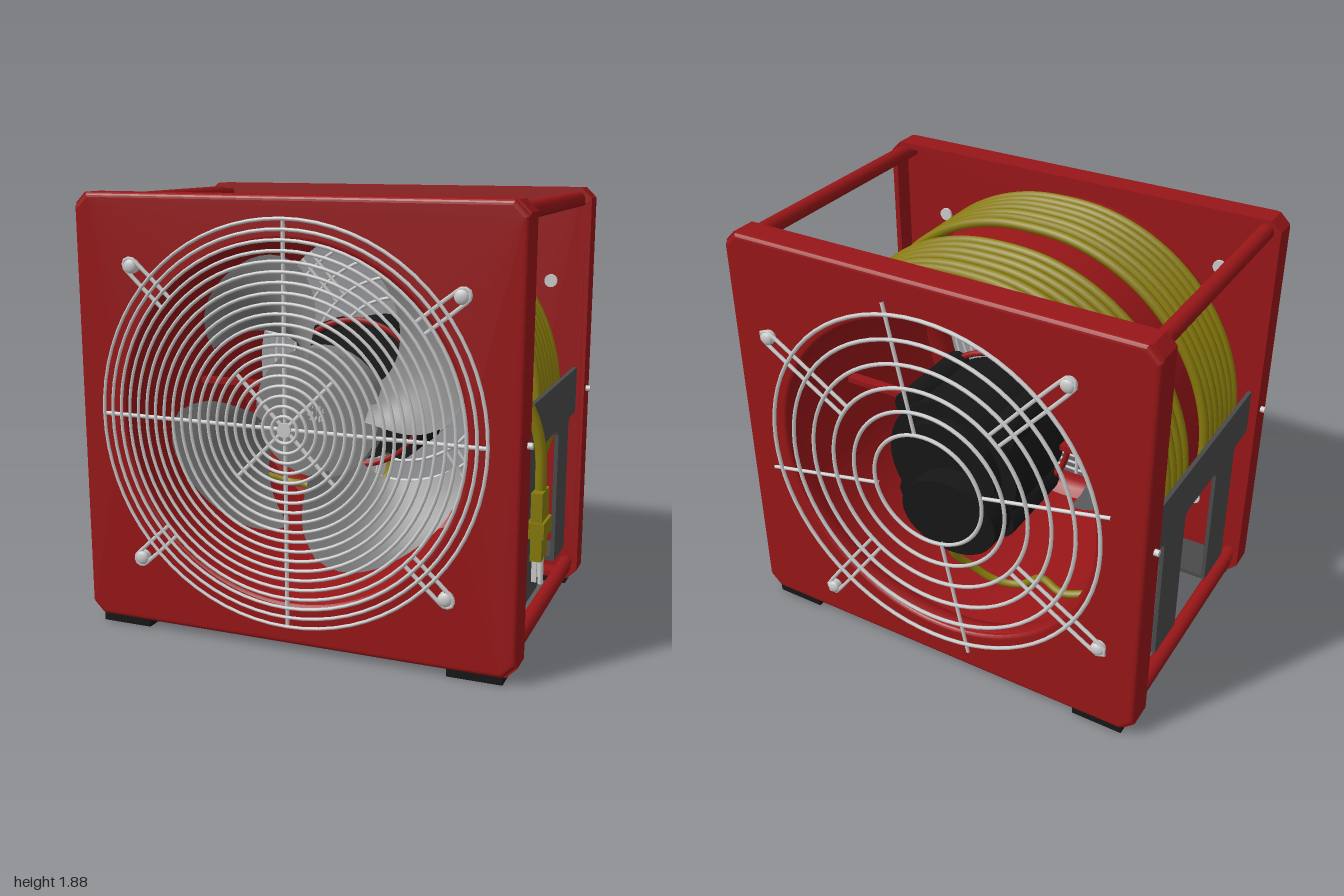
import * as THREE from 'three';

const CY = 0.955; // fan axis height
const V = (x, y, z) => new THREE.Vector3(x, y, z);
const mat = (color, side = THREE.FrontSide) => new THREE.MeshStandardMaterial({ color, side });
const RED = mat(0x981618), RED2 = mat(0x981618, THREE.DoubleSide), YELLOW = mat(0x877a0a);
const BLACK = mat(0x161616), DARK = mat(0x4a4a4a), STEEL = mat(0xcccccc), BLADE = mat(0x808080, THREE.DoubleSide);

function add(parent, name, geo, material, x = 0, y = 0, z = 0) {
  const m = new THREE.Mesh(geo, material);
  m.name = name;
  m.position.set(x, y, z);
  parent.add(m);
  return m;
}
const box = (p, name, m, w, h, d, x, y, z) => add(p, name, new THREE.BoxGeometry(w, h, d), m, x, y, z);
const cylZ = (p, name, m, r, len, x, y, z, seg = 24) =>
  add(p, name, new THREE.CylinderGeometry(r, r, len, seg).rotateX(Math.PI / 2), m, x, y, z);
const tube = (p, name, m, pts, r, seg = 40, sides = 8) =>
  add(p, name, new THREE.TubeGeometry(new THREE.CatmullRomCurve3(pts, false, 'centripetal'), seg, r, sides), m);
const rod = (p, name, m, a, b, r) =>
  add(p, name, new THREE.TubeGeometry(new THREE.LineCurve3(a, b), 1, r, 8), m);

// chamfered square outline, inset by t
function outline(t, C = THREE.Shape) {
  const w = 0.96 - t, b = 0.03 + t - CY, h = 1.875 - t - CY, c = 0.045;
  const s = new C();
  [[-w + c, b], [w - c, b], [w, b + c], [w, h - c], [w - c, h], [-w + c, h], [-w, h - c], [-w, b + c]]
    .forEach(([x, y], i) => (i ? s.lineTo(x, y) : s.moveTo(x, y)));
  s.closePath();
  return s;
}

// folded sheet panel: face with a round opening, rim turned inward, curved inlet lip
function makePanel() {
  const p = new THREE.Group();
  p.name = 'endPanel';
  const face = outline(0.02);
  face.holes.push(new THREE.Path().absarc(0, 0, 0.765, 0, Math.PI * 2, true));
  add(p, 'panelFace', new THREE.ExtrudeGeometry(face, {
    depth: 0.004, bevelThickness: 0.018, bevelSize: 0.02, bevelSegments: 4, curveSegments: 48,
  }), RED, 0, CY, 0.638);
  const rim = outline(0);
  rim.holes.push(outline(0.025, THREE.Path));
  add(p, 'panelRim', new THREE.ExtrudeGeometry(rim, { depth: 0.11, bevelEnabled: false }), RED, 0, CY, 0.53);
  const lip = [[0.755, 0.655], [0.742, 0.63], [0.742, 0.59], [0.76, 0.55], [0.8, 0.52]]
    .map(([r, z]) => new THREE.Vector2(r, z));
  add(p, 'inletLip', new THREE.LatheGeometry(lip, 72).rotateX(Math.PI / 2), RED2, 0, CY, 0);
  for (const s of [-1, 1]) {
    box(p, 'foot', BLACK, 0.23, 0.034, 0.11, s * 0.79, 0.017, 0.595);
    const b = cylZ(p, 'sideBolt', STEEL, 0.014, 0.03, s * 0.965, CY, 0.58, 12);
    b.rotation.y = Math.PI / 2;
  }
  return p;
}

// wire guard facing +z, built around its own axis
function makeGuard(name, radii, wire, bolts, hookIn) {
  const g = new THREE.Group();
  g.name = name;
  for (const r of radii) add(g, 'guardRing', new THREE.TorusGeometry(r, wire, 6, 72), STEEL);
  for (const [x, y] of bolts) {
    const h = new THREE.Group(), d = Math.hypot(x, y);
    h.name = 'mountHook';
    h.rotation.z = Math.atan2(y, x);
    g.add(h);
    tube(h, 'hookWire', STEEL, [V(hookIn, 0.028, -0.01), V(d - 0.03, 0.028, -0.01), V(d + 0.02, 0.024, -0.01),
      V(d + 0.036, 0, -0.01), V(d + 0.02, -0.024, -0.01), V(d - 0.03, -0.028, -0.01), V(hookIn, -0.028, -0.01)], 0.009, 30, 6);
    cylZ(h, 'boltShank', STEEL, 0.03, 0.075, d, 0, -0.045);
    const head = add(h, 'boltHead', new THREE.SphereGeometry(0.03, 16, 8), STEEL, d, 0, -0.006);
    head.scale.z = 0.5;
  }
  return g;
}

// swept, pitched fan blade: narrow at the hub, broad rounded tip
function bladeGeometry() {
  const geo = new THREE.PlaneGeometry(1, 1, 16, 12), pos = geo.attributes.position;
  for (let i = 0; i < pos.count; i++) {
    const u = pos.getX(i) + 0.5, v = pos.getY(i) + 0.5;
    const r = 0.25 + (0.455 - 0.09 * Math.pow(Math.abs(2 * u - 1), 4)) * v;
    const a0 = 0.04 * v - 0.1 * Math.sin(Math.PI * v), a1 = 0.5 + 0.72 * Math.pow(v, 1.4);
    const a = a0 + (a1 - a0) * u;
    pos.setXYZ(i, r * Math.cos(a), r * Math.sin(a), (0.5 - u) * 0.26 + 0.04 * Math.sin(Math.PI * u));
  }
  geo.computeVertexNormals();
  return geo;
}

// cord draped back and forth over the drum, with round turns at each end
function coil(parent, zs) {
  const pts = [];
  const at = (deg, z) => {
    const a = THREE.MathUtils.degToRad(deg), r = 0.826 + 0.028 * Math.abs(Math.cos(a));
    pts.push(V(r * Math.cos(a), CY + r * Math.sin(a), z + 0.008 * Math.cos(a)));
  };
  zs.forEach((z, i) => {
    for (let k = 0; k <= 20; k++) at(-25 + 230 * (i % 2 ? 20 - k : k) / 20, z);
    if (i < zs.length - 1) at(i % 2 ? -27.5 : 207.5, (z + zs[i + 1]) / 2);
  });
  tube(parent, 'coiledCord', YELLOW, pts, 0.022, zs.length * 66, 8);
}

// forked cord bracket for the +x side
function makeBracket() {
  const b = new THREE.Group();
  b.name = 'cordBracket';
  const s = new THREE.Shape();
  const half = [[0.53, 1.06], [0.53, 0.85], [0.41, 0.85], [0.388, 0.841], [0.38, 0.82], [0.38, 0.24],
    [0.17, 0.24], [0.17, 0.82], [0.162, 0.841], [0.14, 0.85]];
  const pts = [...half, ...half.map(([z, y]) => [-z, y]).reverse()];
  pts.forEach(([z, y], i) => (i ? s.lineTo(z, y) : s.moveTo(z, y)));
  const geo = new THREE.ExtrudeGeometry(s, { depth: 0.018, bevelEnabled: false }).rotateY(Math.PI / 2);
  add(b, 'forkPlate', geo, DARK, 0.905, 0, 0);
  for (const z of [-0.275, 0.275]) {
    const foot = new THREE.Shape();
    [[0.915, -0.105], [0.915, 0.105], [0.59, 0.105], [0.55, 0.07], [0.55, -0.07], [0.59, -0.105]]
      .forEach(([x, w], i) => (i ? foot.lineTo(x, w) : foot.moveTo(x, w)));
    add(b, 'bracketFoot', new THREE.ExtrudeGeometry(foot, { depth: 0.02, bevelEnabled: false }).rotateX(-Math.PI / 2),
      DARK, 0, 0.24, z);
    box(b, 'footLip', DARK, 0.018, 0.12, 0.14, 0.56, 0.31, z);
  }
  return b;
}

export function createModel() {
  const root = new THREE.Group();
  root.name = 'portableFan';
  const g = new THREE.Group();
  g.name = 'fanAssembly';
  g.position.x = -0.02;
  root.add(g);

  // frame
  const front = makePanel(), back = makePanel();
  back.rotation.y = Math.PI;
  g.add(front, back);
  for (const x of [-0.895, 0.895]) for (const y of [0.085, 1.825]) cylZ(g, 'frameRail', RED, 0.035, 1.2, x, y, 0, 20);
  add(g, 'drum', new THREE.CylinderGeometry(0.8, 0.8, 1.26, 80, 1, true).rotateX(Math.PI / 2), RED2, 0, CY, 0);

  // guards
  const frontGuard = makeGuard('frontGuard', Array.from({ length: 20 }, (_, i) => 0.055 + i * 0.041), 0.0075,
    [[-0.685, 0.625], [0.72, 0.565], [-0.68, -0.625], [0.675, -0.62]], 0.71);
  frontGuard.position.set(0, CY, 0.69);
  for (let k = 0; k < 8; k++) {
    const a = k * Math.PI / 4, r = k % 2 ? 0.3 : 0.835;
    rod(frontGuard, 'guardSpoke', STEEL, V(0, 0, -0.008), V(r * Math.cos(a), r * Math.sin(a), -0.008), 0.009);
  }
  cylZ(frontGuard, 'guardCentre', STEEL, 0.03, 0.015, 0, 0, 0);
  const rearGuard = makeGuard('rearGuard', [0.26, 0.365, 0.47, 0.575, 0.68, 0.785], 0.009,
    [[-0.77, 0.49], [0.62, 0.69], [0.79, -0.5], [-0.55, -0.755]], 0.47);
  rearGuard.position.set(0, CY, -0.69);
  rearGuard.rotation.y = Math.PI;
  for (let k = 0; k < 4; k++) {
    const a = k * Math.PI / 2 + 0.21, c = Math.cos(a), s = Math.sin(a);
    rod(rearGuard, 'guardSpoke', STEEL, V(0.25 * c, 0.25 * s, -0.008), V(0.835 * c, 0.835 * s, -0.008), 0.008);
  }
  g.add(rearGuard, frontGuard);

  // fan rotor
  const rotor = new THREE.Group();
  rotor.name = 'rotor';
  rotor.position.set(0, CY, 0.32);
  g.add(rotor);
  cylZ(rotor, 'hub', mat(0x808080), 0.28, 0.1, 0, 0, 0, 40);
  cylZ(rotor, 'shaft', STEEL, 0.04, 0.5, 0, 0, -0.2);
  for (let k = 0; k < 4; k++) add(rotor, 'blade', bladeGeometry(), BLADE).rotation.z = k * Math.PI / 2;

  // motor and its mount
  cylZ(g, 'motorBody', BLACK, 0.31, 0.42, 0, CY, -0.29, 40);
  cylZ(g, 'motorCap', BLACK, 0.24, 0.06, 0, CY, -0.53, 32);
  for (let k = 0; k < 4; k++) {
    const a = (k + 0.5) * Math.PI / 2;
    cylZ(g, 'motorLug', BLACK, 0.07, 0.4, 0.31 * Math.cos(a), CY + 0.31 * Math.sin(a), -0.28, 12);
  }
  cylZ(g, 'motorCover', BLACK, 0.225, 0.13, -0.08, 0.83, -0.6, 32).scale.y = 0.76;
  box(g, 'terminalBox', DARK, 0.12, 0.14, 0.1, 0.03, 0.64, -0.52);
  add(g, 'motorRing', new THREE.TorusGeometry(0.335, 0.014, 8, 48), RED, 0, CY, -0.09);
  for (const s of [-1, 1]) box(g, 'motorStrut', RED, 0.48, 0.025, 0.05, s * 0.56, CY, -0.12);

  // brackets, one on each side
  const right = makeBracket(), left = makeBracket();
  left.rotation.y = Math.PI;
  g.add(right, left);

  // cord
  coil(g, [0.5, 0.445, 0.39, 0.335, 0.28, 0.225, 0.17]);
  coil(g, [-0.05, -0.11, -0.17, -0.23, -0.29, -0.35, -0.41]);
  tube(g, 'motorCord', YELLOW, [V(0.02, 0.62, -0.5), V(0.02, 0.48, -0.48), V(-0.04, 0.38, -0.42), V(-0.14, 0.31, -0.38),
    V(-0.25, 0.31, -0.35), V(-0.36, 0.4, -0.36), V(-0.48, 0.4, -0.4), V(-0.6, 0.43, -0.38)], 0.018);
  add(g, 'cordGrommet', new THREE.CylinderGeometry(0.035, 0.035, 0.05, 16).rotateZ(Math.PI / 2), BLACK, -0.77, 1.39, -0.36);
  rod(g, 'grommetStem', STEEL, V(-0.77, 1.39, -0.36), V(-0.66, 1.39, -0.36), 0.012);
  tube(g, 'plugLead', YELLOW, [V(0.72, CY + 0.42, 0.5), V(0.83, 1.24, 0.49), V(0.91, 1.12, 0.465), V(0.955, 1.02, 0.45),
    V(0.98, 0.9, 0.445), V(0.985, 0.74, 0.445)], 0.023);

  // plug
  const plug = new THREE.Group();
  plug.name = 'plug';
  plug.position.set(0.985, 0, 0.45);
  g.add(plug);
  box(plug, 'plugBody', YELLOW, 0.045, 0.14, 0.12, 0, 0.68, 0);
  box(plug, 'plugCollar', YELLOW, 0.068, 0.065, 0.14, 0, 0.6, 0);
  box(plug, 'plugNose', YELLOW, 0.045, 0.11, 0.1, 0, 0.525, 0);
  for (const z of [-0.03, 0.03]) box(plug, 'plugBlade', STEEL, 0.02, 0.1, 0.01, -0.008, 0.43, z);
  rod(plug, 'plugPin', STEEL, V(0.012, 0.48, 0), V(0.012, 0.365, 0), 0.011);
  return root;
}
